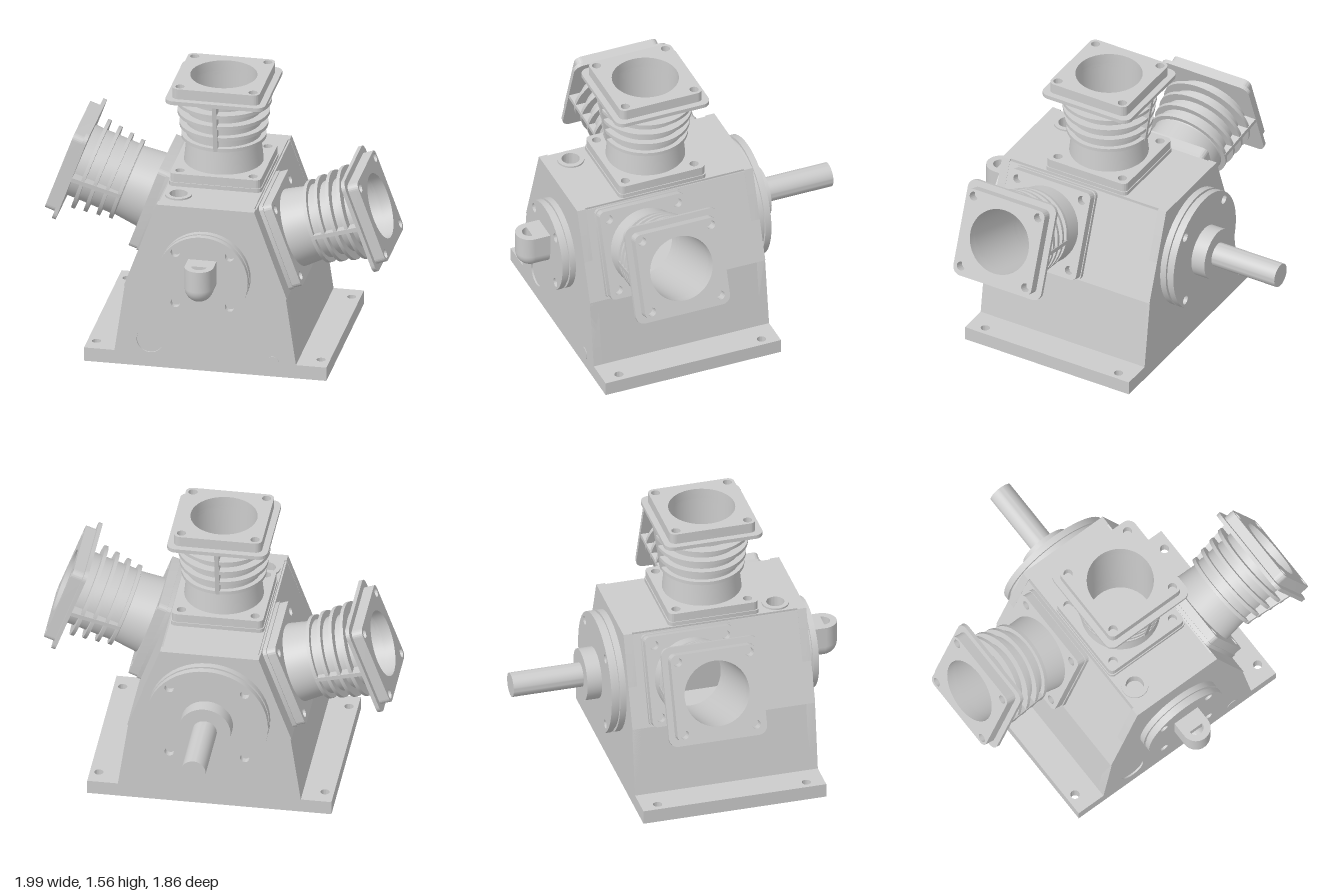
import * as THREE from 'three';
import { toCreasedNormals } from 'three/addons/utils/BufferGeometryUtils.js';

const CY = 0.59;               // crankshaft height
const Z0 = -0.365, Z1 = 0.68;  // back and front of the crankcase
const BORE = 0.185;
const mat = new THREE.MeshStandardMaterial({ color: 0xcccccc, side: THREE.DoubleSide });

function add(parent, name, geo, x = 0, y = 0, z = 0) {
  const m = new THREE.Mesh(toCreasedNormals(geo, 0.6), mat);
  m.name = name;
  m.position.set(x, y, z);
  parent.add(m);
  return m;
}

function circle(path, x, y, r) {
  path.absarc(x, y, r, 0, Math.PI * 2, false);
  return path;
}
const hole = (x, y, r) => circle(new THREE.Path(), x, y, r);
const poly = pts => new THREE.Shape(pts.map(p => new THREE.Vector2(...p)));
const extrude = (shape, depth) =>
  new THREE.ExtrudeGeometry(shape, { depth, bevelEnabled: false, curveSegments: 24 });
// Extrusion lying flat: shape y becomes -z, depth becomes +y
const flat = (shape, depth) => extrude(shape, depth).rotateX(-Math.PI / 2);

// Rounded square plate with a centre bore and optional corner bolt holes
function squarePlate(h, r, depth, bolt) {
  const s = new THREE.Shape();
  const k = h - r;
  [[k, k], [-k, k], [-k, -k], [k, -k]].forEach(([x, y], i) =>
    s.absarc(x, y, r, i * Math.PI / 2, (i + 1) * Math.PI / 2, false));
  s.closePath();
  s.holes.push(hole(0, 0, BORE));
  if (bolt) for (const x of [-bolt, bolt]) for (const y of [-bolt, bolt])
    s.holes.push(hole(x, y, 0.025));
  return flat(s, depth);
}

const lathe = pts => new THREE.LatheGeometry(pts.map(p => new THREE.Vector2(...p)), 48);

// One finned cylinder, its axis along local +y from the crankshaft centre
function cylinder(name, angle, z, extraHole) {
  const g = new THREE.Group();
  g.name = name;
  g.position.set(0, CY, z);
  g.rotation.z = angle;

  // Crankcase wall panel under the cylinder
  const a = z - Z1, b = z - Z0;
  const wall = poly([[-0.265, a], [0.265, a], [0.265, b], [-0.265, b]]);
  wall.holes.push(hole(0, 0, BORE));
  if (extraHole) wall.holes.push(hole(...extraHole));
  add(g, 'crankcasePanel', flat(wall, 0.04), 0, 0.35, 0);

  add(g, 'footGasket', squarePlate(0.26, 0.03, 0.025), 0, 0.388, 0);
  add(g, 'footFlange', squarePlate(0.255, 0.03, 0.05, 0.205), 0, 0.413, 0);

  // Barrel with tapering round fins, then back down the bore
  const pts = [[0.222, 0.44], [0.205, 0.6]];
  [[0.235, 0.615], [0.245, 0.685], [0.255, 0.757], [0.265, 0.827]].forEach(([r, y]) =>
    pts.push([0.208, y - 0.01], [r, y - 0.01], [r, y + 0.01], [0.208, y + 0.01]));
  pts.push([0.21, 0.9], [BORE, 0.9], [BORE, 0.35]);
  add(g, 'finnedBarrel', lathe(pts));

  // Ribs joining the fins at the front and back
  const rib = poly([[0.19, 0.605], [0.235, 0.605], [0.279, 0.895], [0.19, 0.895]]);
  for (const s of [-1, 1])
    add(g, 'finRib', extrude(rib, 0.024).translate(0, 0, -0.012).rotateY(s * Math.PI / 2));

  add(g, 'squareFin', squarePlate(0.28, 0.05, 0.022), 0, 0.888, 0);
  add(g, 'headPlate', squarePlate(0.245, 0.035, 0.062, 0.205), 0, 0.908, 0);
  return g;
}

// Round bearing cover with a groove, its axis along z
function cover(r, depth, bolt) {
  const g = new THREE.Group();
  const disc = (name, radius, z, d, bolted) => {
    const s = circle(new THREE.Shape(), 0, 0, radius);
    if (bolted) for (const x of [-bolt, bolt]) for (const y of [-bolt, bolt])
      s.holes.push(hole(x, y, 0.026));
    add(g, name, extrude(s, d), 0, 0, z);
  };
  disc('coverBase', r, 0, depth * 0.42);
  disc('coverGroove', r - 0.015, depth * 0.42, depth * 0.16);
  disc('coverFace', r, depth * 0.58, depth * 0.42, true);
  return g;
}

export function createModel() {
  const root = new THREE.Group();
  root.name = 'radialCompressor';

  // Base plate with corner bolt holes
  const base = poly([[-0.68, -Z1], [0.68, -Z1], [0.68, -Z0], [-0.68, -Z0]]);
  for (const x of [-0.63, 0.63]) for (const z of [-0.27, 0.58])
    base.holes.push(hole(x, -z, 0.025));
  add(root, 'basePlate', flat(base, 0.08));

  // Crankcase end walls, the front one with a drain opening
  const outline = [[-0.51, 0.075], [0.51, 0.075], [0.45, 0.49], [0.275, 0.98], [-0.275, 0.98], [-0.45, 0.49]];
  const front = poly(outline);
  front.holes.push(hole(-0.31, 0.16, 0.075));
  add(root, 'frontWall', extrude(front, 0.05), 0, 0, Z1 - 0.05);
  add(root, 'backWall', extrude(poly(outline), 0.05), 0, 0, Z0);
  add(root, 'drainPlug', new THREE.CylinderGeometry(0.078, 0.078, 0.03, 32).rotateX(Math.PI / 2), -0.31, 0.16, Z1 - 0.025);
  add(root, 'smallPlug', new THREE.CylinderGeometry(0.035, 0.035, 0.02, 24).rotateX(Math.PI / 2), 0.38, 0.085, Z1 - 0.007);

  // Lower side walls
  for (const s of [-1, 1]) {
    const side = poly([[s * 0.51, 0.075], [s * 0.45, 0.49], [s * 0.41, 0.49], [s * 0.47, 0.075]]);
    add(root, 'lowerSideWall', extrude(side, Z1 - Z0), 0, 0, Z0);
  }

  // Three cylinders, staggered along the crankshaft; filler hole beside the upright one
  const tilt = THREE.MathUtils.degToRad(70);
  root.add(cylinder('topCylinder', 0, 0.16, [-0.18, -0.37, 0.05]));
  root.add(cylinder('leftCylinder', -tilt, 0.325));
  root.add(cylinder('rightCylinder', tilt, -0.01));
  const filler = lathe([[0.075, 0], [0.075, 0.012], [0.05, 0.012], [0.05, -0.06], [0, -0.06]]);
  add(root, 'fillerNeck', filler, -0.18, 0.978, 0.53);

  // Front bearing cover and its upturned elbow
  const frontCover = cover(0.255, 0.08, 0.152);
  frontCover.name = 'frontCover';
  frontCover.position.set(0, CY - 0.005, Z1);
  root.add(frontCover);
  const elbow = new THREE.Group();
  elbow.name = 'elbow';
  elbow.position.set(0, CY - 0.008, 0.85);
  add(elbow, 'elbowPipe', new THREE.CylinderGeometry(0.08, 0.08, 0.12, 32).rotateX(Math.PI / 2), 0, 0, -0.06);
  add(elbow, 'elbowCorner', new THREE.SphereGeometry(0.08, 32, 20));
  add(elbow, 'elbowOutlet', lathe([[0.08, 0], [0.08, 0.122], [0.042, 0.122], [0.042, 0.02], [0, 0.02]]));
  // Squared upper rear of the elbow, blending it into the cover
  add(elbow, 'elbowWeb', new THREE.BoxGeometry(0.16, 0.122, 0.095), 0, 0.061, -0.0475);
  root.add(elbow);

  // Back bearing cover, hub and drive shaft
  const backCover = cover(0.34, 0.085, 0.21);
  backCover.name = 'backCover';
  backCover.position.set(0, CY, Z0);
  backCover.rotation.y = Math.PI;
  root.add(backCover);
  const shaft = lathe([[0.145, 0], [0.145, 0.09], [0.068, 0.09], [0.068, 0.49], [0, 0.49]]);
  add(root, 'driveShaft', shaft.rotateX(-Math.PI / 2), 0, CY, -0.443);

  return root;
}
